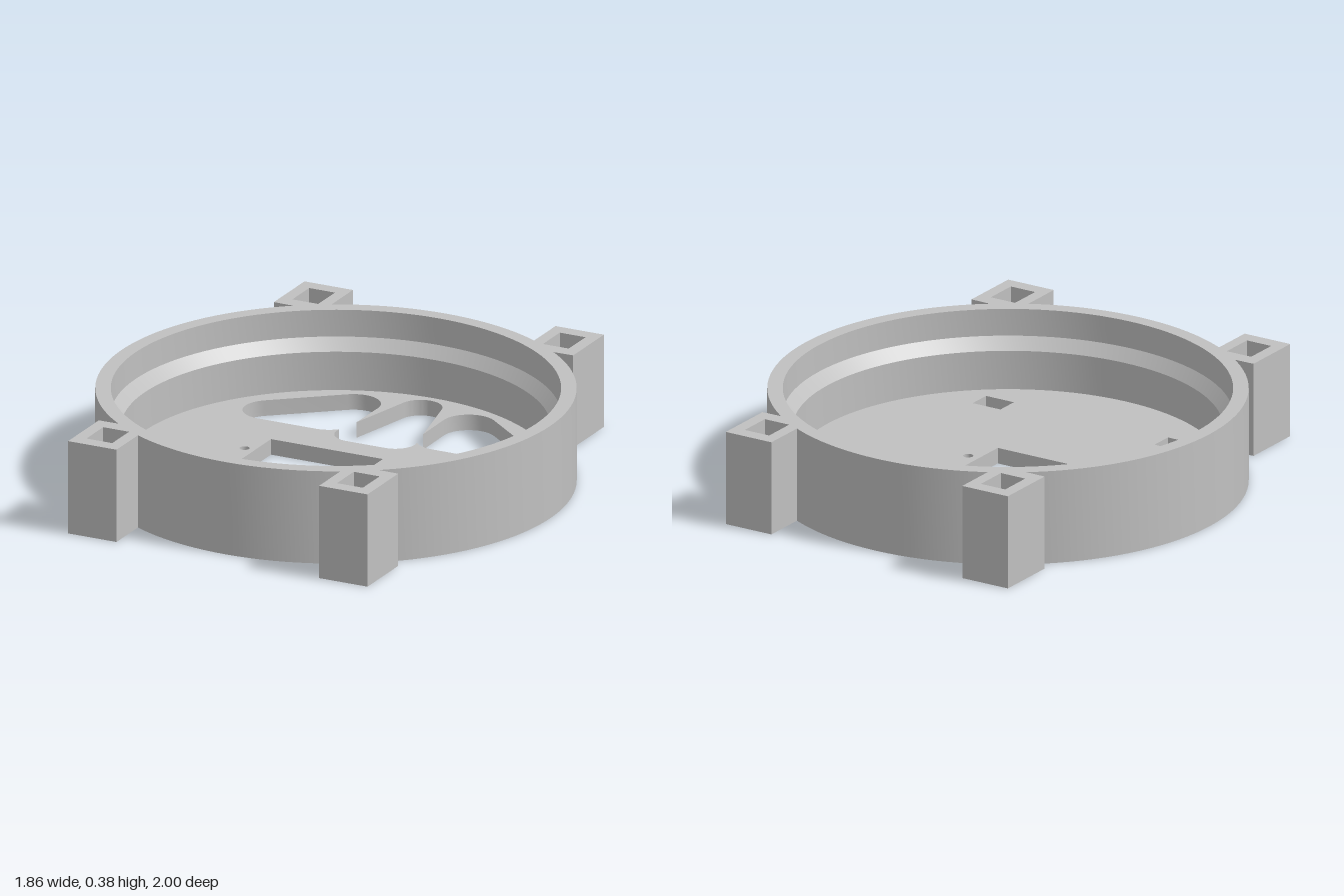
import * as THREE from 'three';
import { toCreasedNormals } from 'three/addons/utils/BufferGeometryUtils.js';

const HEIGHT = 0.38, FLOOR = 0.064, OUTER = 0.93, INNER = 0.83;
const rad = THREE.MathUtils.degToRad;

// Points along a clockwise or counter-clockwise arc, angles in degrees
function arc(cx, cy, r, from, to, steps = 14) {
  return Array.from({ length: steps + 1 }, (_, i) => {
    const a = rad(from + (to - from) * i / steps);
    return new THREE.Vector2(cx + r * Math.cos(a), cy + r * Math.sin(a));
  });
}

function rect(x0, x1, y0, y1) {
  return [[x0, y0], [x0, y1], [x1, y1], [x1, y0]].map(p => new THREE.Vector2(...p));
}

// Extrudes a plan shape (x, -z) upwards from the ground
function slab(points, holes, height) {
  const shape = new THREE.Shape(points);
  shape.holes = holes.map(h => new THREE.Path(h));
  const geo = new THREE.ExtrudeGeometry(shape, { depth: height, bevelEnabled: false });
  geo.rotateX(-Math.PI / 2);
  return toCreasedNormals(geo, rad(30));
}

// Three-lobed opening: right half, then mirrored
function lobedOpening() {
  const right = [
    ...arc(0, 0.715, 0.085, 90, 12.7),
    new THREE.Vector2(0.145, 0.455),
    ...arc(0.25, 0.634, 0.107, 180, 50.9),
    ...arc(0.505, 0.427, 0.107, 50.9, -90),
    ...arc(0.25, 0.427, 0.107, -90, -139, 6),
    ...arc(0.085, 0.337, 0.085, 12, -90),
  ];
  const left = right.slice(1).reverse().map(p => new THREE.Vector2(-p.x, p.y));
  return [...right, ...left];
}

export function createModel() {
  const group = new THREE.Group();
  const grey = new THREE.MeshStandardMaterial({ color: 0xc0c0c0 });
  grey.name = 'grey plastic';
  const add = (name, geo) => {
    const mesh = new THREE.Mesh(geo, grey);
    mesh.name = name;
    group.add(mesh);
  };

  // Round wall with a sloped inner ledge
  const profile = [
    [INNER, 0], [OUTER, 0], [OUTER, HEIGHT], [0.87, HEIGHT],
    [0.87, 0.27], [INNER, 0.222], [INNER, FLOOR],
  ].map(p => new THREE.Vector2(...p));
  add('wall', toCreasedNormals(new THREE.LatheGeometry(profile, 120), rad(30)));

  // Floor with its openings
  const disc = arc(0, 0, INNER, 0, 360, 120).slice(0, -1);
  add('floor', slab(disc, [
    lobedOpening(),
    rect(-0.353, 0.133, -0.132, 0.138),
    rect(-0.483, -0.355, -0.587, -0.492),
    rect(0.355, 0.483, -0.587, -0.492),
    arc(-0.398, 0.002, 0.02, 360, 0, 20).slice(0, -1),
    arc(0.182, 0.002, 0.02, 360, 0, 20).slice(0, -1),
  ], FLOOR));

  // Four hollow square posts, their inner corners following the wall
  for (const sx of [-1, 1]) for (const sz of [-1, 1]) {
    const mirror = p => new THREE.Vector2(p.x * sx, -p.y * sz);
    const outline = [
      ...arc(0, 0, OUTER - 0.003, 61.7, 52.8, 6),
      new THREE.Vector2(0.65, 0.74), new THREE.Vector2(0.65, 1), new THREE.Vector2(0.44, 1),
    ].map(mirror);
    const socket = rect(0.488, 0.6, 0.8, 0.942).map(mirror);
    add(`${sz > 0 ? 'front' : 'back'}${sx > 0 ? 'Left' : 'Right'}Post`, slab(outline, [socket], HEIGHT));
  }
  return group;
}
